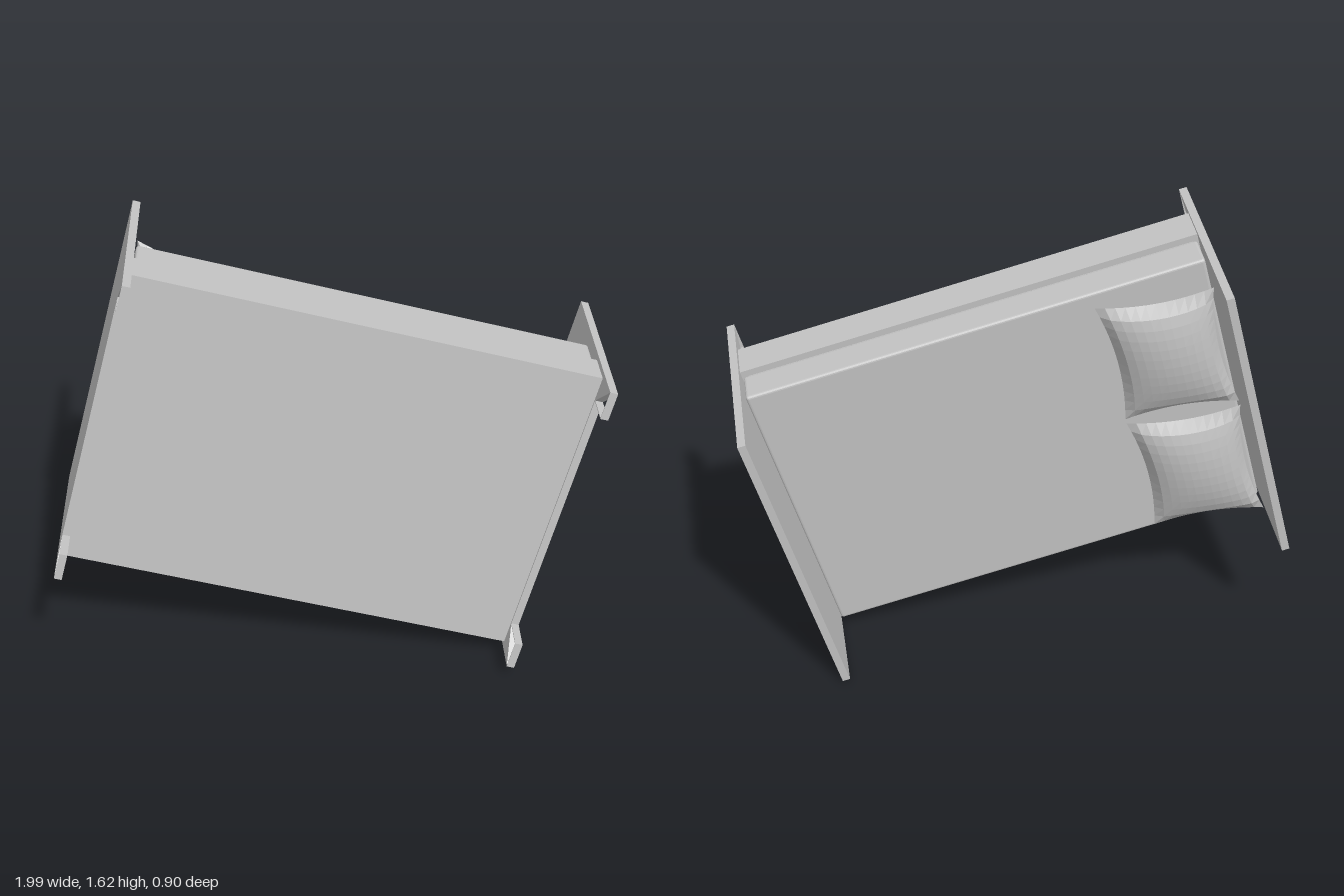
import * as THREE from 'three';
import { RoundedBoxGeometry } from 'three/addons/geometries/RoundedBoxGeometry.js';

// Bed space: x = head to foot, y = bed's own up, z = across the bed
const HALF_L = 0.85, HALF_H = 0.345, HALF_W = 0.5875;
const BOARD = 0.028, FOOT_H = 0.125, FOOT_W = 0.104, STRIP = 0.003;

function boardGeometry() {
  const s = new THREE.Shape();
  s.moveTo(-HALF_W, -HALF_H);
  s.lineTo(-HALF_W + FOOT_W, -HALF_H + FOOT_H);
  s.lineTo(HALF_W - FOOT_W, -HALF_H + FOOT_H);
  s.lineTo(HALF_W, -HALF_H);
  s.lineTo(HALF_W, HALF_H);
  s.lineTo(-HALF_W, HALF_H);
  s.closePath();
  const g = new THREE.ExtrudeGeometry(s, { depth: BOARD, bevelEnabled: false });
  g.translate(0, 0, -BOARD / 2);
  g.rotateY(Math.PI / 2);
  return g;
}

// Pinched cushion: two bulging grids sharing one seam
function pillowGeometry(nx = 12, nz = 12) {
  const pos = [], idx = [];
  for (const side of [1, -1]) {
    const base = pos.length / 3;
    for (let i = 0; i <= nx; i++) {
      for (let j = 0; j <= nz; j++) {
        const s = (i / nx) * 2 - 1, t = (j / nz) * 2 - 1;
        const bulge = Math.pow((1 - s * s) * (1 - t * t), 0.55);
        pos.push(
          s * 0.2 * (1 - 0.14 * (1 - t * t)),
          side * 0.075 * bulge - 0.04 * s,
          t * 0.255 * (1 - 0.1 * (1 - s * s))
        );
      }
    }
    for (let i = 0; i < nx; i++) {
      for (let j = 0; j < nz; j++) {
        const a = base + i * (nz + 1) + j, b = a + 1, c = a + nz + 1, d = c + 1;
        if (side > 0) idx.push(a, b, c, b, d, c);
        else idx.push(a, c, b, b, c, d);
      }
    }
  }
  const g = new THREE.BufferGeometry();
  g.setAttribute('position', new THREE.Float32BufferAttribute(pos, 3));
  g.setIndex(idx);
  g.computeVertexNormals();
  return g;
}

export function createModel() {
  const grey = new THREE.MeshStandardMaterial({ color: 0xc4c4c4, flatShading: true });
  grey.name = 'plain grey';

  const bed = new THREE.Group();
  bed.name = 'bed';
  const add = (name, geometry, x, y, z) => {
    const m = new THREE.Mesh(geometry, grey);
    m.name = name;
    m.position.set(x, y, z);
    bed.add(m);
    return m;
  };

  // End boards with open feet at the corners
  for (const [name, side] of [['headboard', -1], ['footboard', 1]]) {
    const x = side * (HALF_L - BOARD / 2);
    add(name, boardGeometry(), x, 0, 0);
    for (const w of [-1, 1]) {
      add(name + 'FootBar', new THREE.BoxGeometry(BOARD, STRIP, FOOT_W),
        x, -HALF_H + STRIP / 2, w * (HALF_W - FOOT_W / 2));
      add(name + 'FootPost', new THREE.BoxGeometry(BOARD, FOOT_H, STRIP),
        x, -HALF_H + FOOT_H / 2, w * (HALF_W - FOOT_W));
    }
  }

  // Base and mattress
  add('base', new THREE.BoxGeometry(1.644, 0.134, 1.14), 0, -0.147, 0);
  add('mattressCore', new THREE.BoxGeometry(1.6, 0.02, 1.09), 0, -0.073, 0);
  add('mattress', new RoundedBoxGeometry(1.63, 0.124, 1.114, 2, 0.01), 0, -0.006, 0);

  // Pair of pillows leaning on the headboard
  for (const w of [-1, 1]) add('pillow', pillowGeometry(), -0.61, 0.13, w * 0.265);

  // Lay the whole bed over, underside to the front
  const along = new THREE.Vector3(0.965, -0.255, -0.061).normalize();
  const up = new THREE.Vector3(-0.08, -0.075, -0.994);
  up.addScaledVector(along, -up.dot(along)).normalize();
  const across = new THREE.Vector3().crossVectors(along, up);
  bed.quaternion.setFromRotationMatrix(new THREE.Matrix4().makeBasis(along, up, across));
  bed.position.y = 0.809;

  const model = new THREE.Group();
  model.name = 'tippedBed';
  model.add(bed);
  return model;
}
